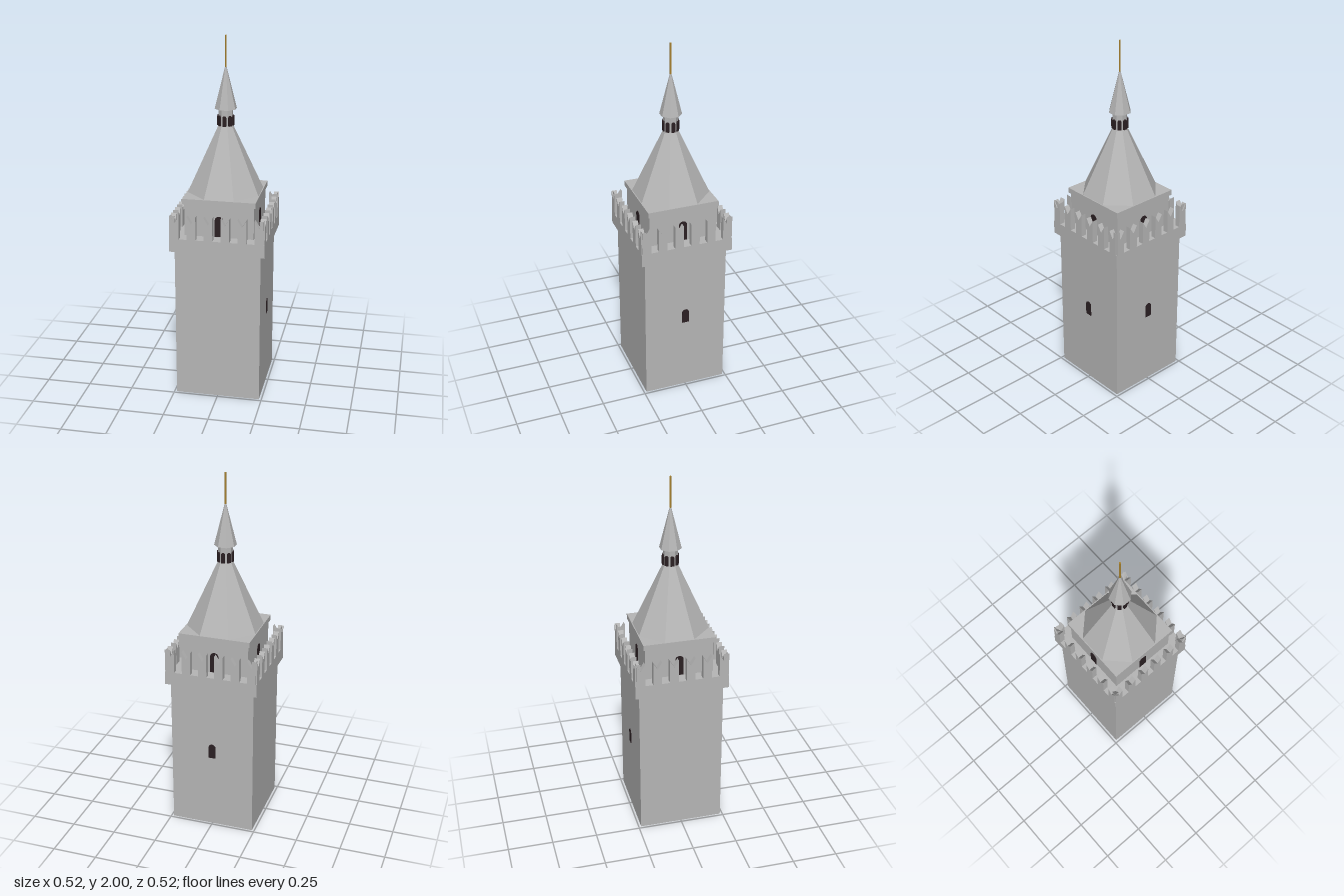
import * as THREE from 'three';

const stone = new THREE.MeshStandardMaterial({ color: 0xb6b6b6, side: THREE.DoubleSide });
stone.name = 'stone grey';
const dark = new THREE.MeshStandardMaterial({ color: 0x2b2023 });
dark.name = 'window dark';
const gold = new THREE.MeshStandardMaterial({ color: 0xa8822f });
gold.name = 'old gold';

function add(parent, name, geometry, material, x = 0, y = 0, z = 0) {
  const mesh = new THREE.Mesh(geometry, material);
  mesh.name = name;
  mesh.position.set(x, y, z);
  parent.add(mesh);
  return mesh;
}

// Faceted prism or cone; sizes are distances from the axis to the flat sides
function prism(sides, top, bottom, y0, y1, open = false) {
  const k = 1 / Math.cos(Math.PI / sides);
  let g = new THREE.CylinderGeometry(top * k, bottom * k, y1 - y0, sides, 1, open);
  g.rotateY(Math.PI / sides);
  g.translate(0, (y0 + y1) / 2, 0);
  g = g.toNonIndexed();
  g.computeVertexNormals();
  return g;
}

// Round-arched window plate standing on y = 0
function archPlate(width, height, depth) {
  const r = width / 2;
  const s = new THREE.Shape();
  s.moveTo(-r, 0);
  s.lineTo(r, 0);
  s.lineTo(r, height - r);
  s.absarc(0, height - r, r, 0, Math.PI, false);
  s.closePath();
  return new THREE.ExtrudeGeometry(s, { depth, bevelEnabled: false, curveSegments: 8 });
}

// Swallow-tailed merlon standing on y = 0
function merlonGeometry() {
  const s = new THREE.Shape();
  s.moveTo(-0.024, 0);
  s.lineTo(0.024, 0);
  s.lineTo(0.024, 0.13);
  s.lineTo(0, 0.09);
  s.lineTo(-0.024, 0.13);
  s.closePath();
  return new THREE.ExtrudeGeometry(s, { depth: 0.03, bevelEnabled: false });
}

export function createModel() {
  const tower = new THREE.Group();
  tower.name = 'tower';

  // Shaft, open underneath, and the overhanging parapet
  add(tower, 'shaft', prism(4, 0.236, 0.236, 0, 0.865, true), stone);
  add(tower, 'parapet', new THREE.BoxGeometry(0.52, 0.075, 0.52), stone, 0, 0.9025, 0);

  // Top room and its eaves slab
  add(tower, 'topRoom', new THREE.BoxGeometry(0.38, 0.18, 0.38), stone, 0, 1.03, 0);
  add(tower, 'eavesSlab', new THREE.BoxGeometry(0.4, 0.03, 0.4), stone, 0, 1.135, 0);

  // Merlons and windows on each side: front, left, back, right
  const merlon = merlonGeometry();
  const roomWindow = archPlate(0.046, 0.115, 0.006);
  const shaftWindow = archPlate(0.04, 0.085, 0.006);
  for (let i = 0; i < 4; i++) {
    const side = new THREE.Group();
    side.name = 'wallSide';
    side.rotation.y = i * Math.PI / 2;
    for (let j = 0; j < 6; j++) {
      add(side, 'merlon', merlon, stone, (j - 2.5) * 0.092, 0.94, 0.23);
    }
    add(side, 'roomWindow', roomWindow, dark, 0, 0.943, 0.187);
    if (i === 1 || i === 2) add(side, 'shaftWindow', shaftWindow, dark, 0, 0.432, 0.233);
    tower.add(side);
  }

  // Eight-sided roof, lantern and spire
  add(tower, 'roof', prism(8, 0.037, 0.195, 1.15, 1.517), stone);
  add(tower, 'lantern', prism(8, 0.037, 0.037, 1.517, 1.61), stone);
  add(tower, 'spire', prism(8, 0, 0.056, 1.608, 1.85), stone);

  // Lantern windows
  const lanternWindow = archPlate(0.02, 0.056, 0.008);
  for (let i = 0; i < 8; i++) {
    const holder = new THREE.Group();
    holder.name = 'lanternSide';
    holder.rotation.y = i * Math.PI / 4;
    add(holder, 'lanternWindow', lanternWindow, dark, 0, 1.517, 0.037);
    tower.add(holder);
  }

  // Finial rod
  add(tower, 'finial', prism(8, 0.0045, 0.0045, 1.83, 2), gold);

  return tower;
}
